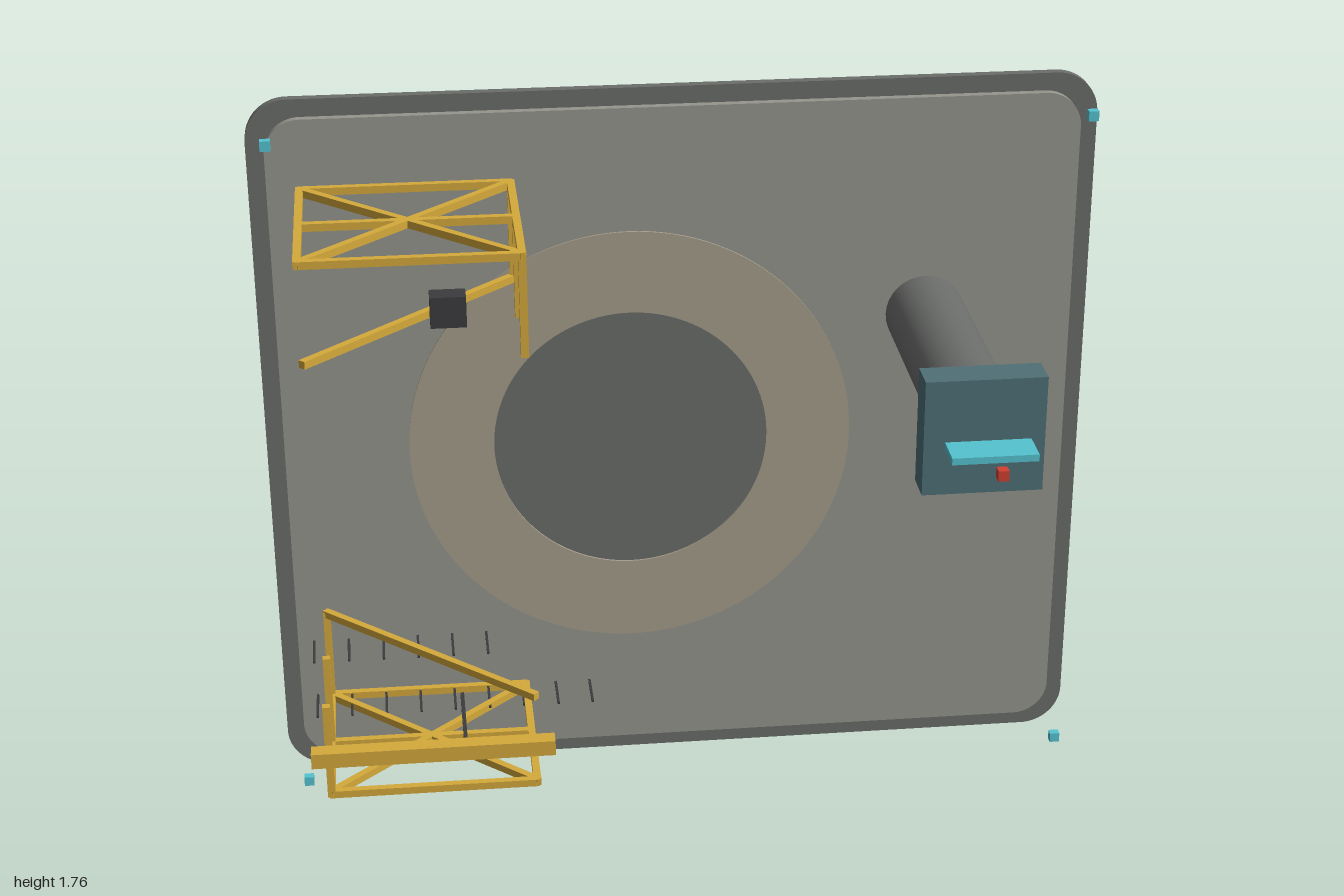
import * as THREE from 'three';

const mat = (color) => new THREE.MeshStandardMaterial({ color });
const M = {
  dark: mat(0x6b6d6b), panel: mat(0x96968e), ring: mat(0xa69d8b), gold: mat(0xd4aa3c),
  teal: mat(0x4f7076), cyan: mat(0x55c4d0), black: mat(0x3c3c3e), red: mat(0xd04030),
};

function add(parent, name, geometry, material, x = 0, y = 0, z = 0) {
  const mesh = new THREE.Mesh(geometry, material);
  mesh.name = name;
  mesh.position.set(x, y, z);
  parent.add(mesh);
  return mesh;
}

const box = (parent, name, w, h, d, material, x, y, z) =>
  add(parent, name, new THREE.BoxGeometry(w, h, d), material, x, y, z);

// Rounded rectangle plate, extruded towards +z
function plate(w, h, r, depth) {
  const x = w / 2, y = h / 2, s = new THREE.Shape();
  s.absarc(x - r, y - r, r, 0, Math.PI / 2);
  s.absarc(-x + r, y - r, r, Math.PI / 2, Math.PI);
  s.absarc(-x + r, -y + r, r, Math.PI, Math.PI * 1.5);
  s.absarc(x - r, -y + r, r, Math.PI * 1.5, Math.PI * 2);
  return new THREE.ExtrudeGeometry(s, { depth, bevelEnabled: false, curveSegments: 10 });
}

// Square bar between two points
function bar(parent, name, a, b, t = 0.018) {
  const p = new THREE.Vector3(...a), q = new THREE.Vector3(...b);
  const mid = p.clone().add(q).multiplyScalar(0.5);
  const mesh = box(parent, name, t, t, p.distanceTo(q) + t / 2, M.gold, mid.x, mid.y, mid.z);
  mesh.lookAt(q);
}

// Braced frame with three posts on one side and a diagonal across their free ends
function cage(name) {
  const g = new THREE.Group();
  g.name = name;
  const X = 0.244, Y = 0.117, back = -0.432, front = 0.036;
  for (const x of [-X, X]) bar(g, 'sideRail', [x, Y, back], [x, Y, front]);
  for (const z of [back, -0.197, front]) {
    bar(g, 'crossRail', [-X, Y, z], [X, Y, z]);
    bar(g, 'post', [X, -Y, z], [X, Y, z]);
  }
  bar(g, 'frameBrace', [-X, Y, front], [X, Y, back]);
  bar(g, 'frameBrace', [-X, Y, back], [X, Y, front]);
  bar(g, 'openBrace', [-X, -Y, front], [X, -Y, back]);
  return g;
}

export function createModel() {
  const model = new THREE.Group();
  model.name = 'wallPanel';
  const cy = 0.8825;

  // Backing plate and raised front panel
  add(model, 'backPlate', plate(2, 1.765, 0.1, 0.024), M.dark, 0, cy, -0.488);
  add(model, 'frontPanel', plate(1.915, 1.68, 0.085, 0.02), M.panel, 0, cy, -0.464);

  // Dark disc seen through a flat ring
  const disc = add(model, 'disc', new THREE.CylinderGeometry(0.505, 0.505, 0.01, 64), M.dark, -0.12, 0.885, -0.44);
  disc.rotation.x = Math.PI / 2;
  const ringShape = new THREE.Shape().absarc(0, 0, 0.538, 0, Math.PI * 2);
  ringShape.holes.push(new THREE.Path().absarc(0, 0, 0.333, 0, Math.PI * 2, true));
  add(model, 'ring', new THREE.ExtrudeGeometry(ringShape, { depth: 0.005, bevelEnabled: false, curveSegments: 64 }),
    M.ring, -0.12, 0.885, -0.435);

  // Projecting arm with its head, ledge and indicator
  const arm = add(model, 'arm', new THREE.CylinderGeometry(0.095, 0.095, 0.65, 32), M.dark, 0.598, 1.18, -0.122);
  arm.rotation.x = Math.PI / 2;
  box(model, 'armHead', 0.272, 0.272, 0.08, M.teal, 0.598, 1.18, 0.241);
  box(model, 'ledge', 0.192, 0.016, 0.084, M.cyan, 0.598, 1.18, 0.36);
  box(model, 'indicator', 0.024, 0.024, 0.024, M.red, 0.598, 1.18, 0.473);

  // Floating corner markers
  for (const x of [-0.947, 0.947])
    for (const y of [0.054, 1.714]) box(model, 'cornerMarker', 0.024, 0.024, 0.02, M.cyan, x, y, -0.297);

  // Two cages, the lower one turned half way round
  const upper = cage('upperCage');
  upper.position.set(-0.638, 1.437, 0);
  const lower = cage('lowerCage');
  lower.position.set(-0.638, 0.332, 0);
  lower.rotation.z = Math.PI;
  model.add(upper, lower);

  // Weight block, cross beam and its rod
  box(model, 'block', 0.08, 0.072, 0.05, M.black, -0.56, 1.438, 0.038);
  box(model, 'beam', 0.572, 0.038, 0.04, M.gold, -0.637, 0.333, 0.066);
  box(model, 'rod', 0.009, 0.009, 0.22, M.black, -0.56, 0.332, -0.087);

  // Two rows of thin pins
  for (const [count, y] of [[6, 0.372], [9, 0.218]])
    for (let i = 0; i < count; i++)
      box(model, 'pin', 0.006, 0.006, 0.108, M.black, -0.917 + i * 0.0855, y, -0.377);

  return model;
}
